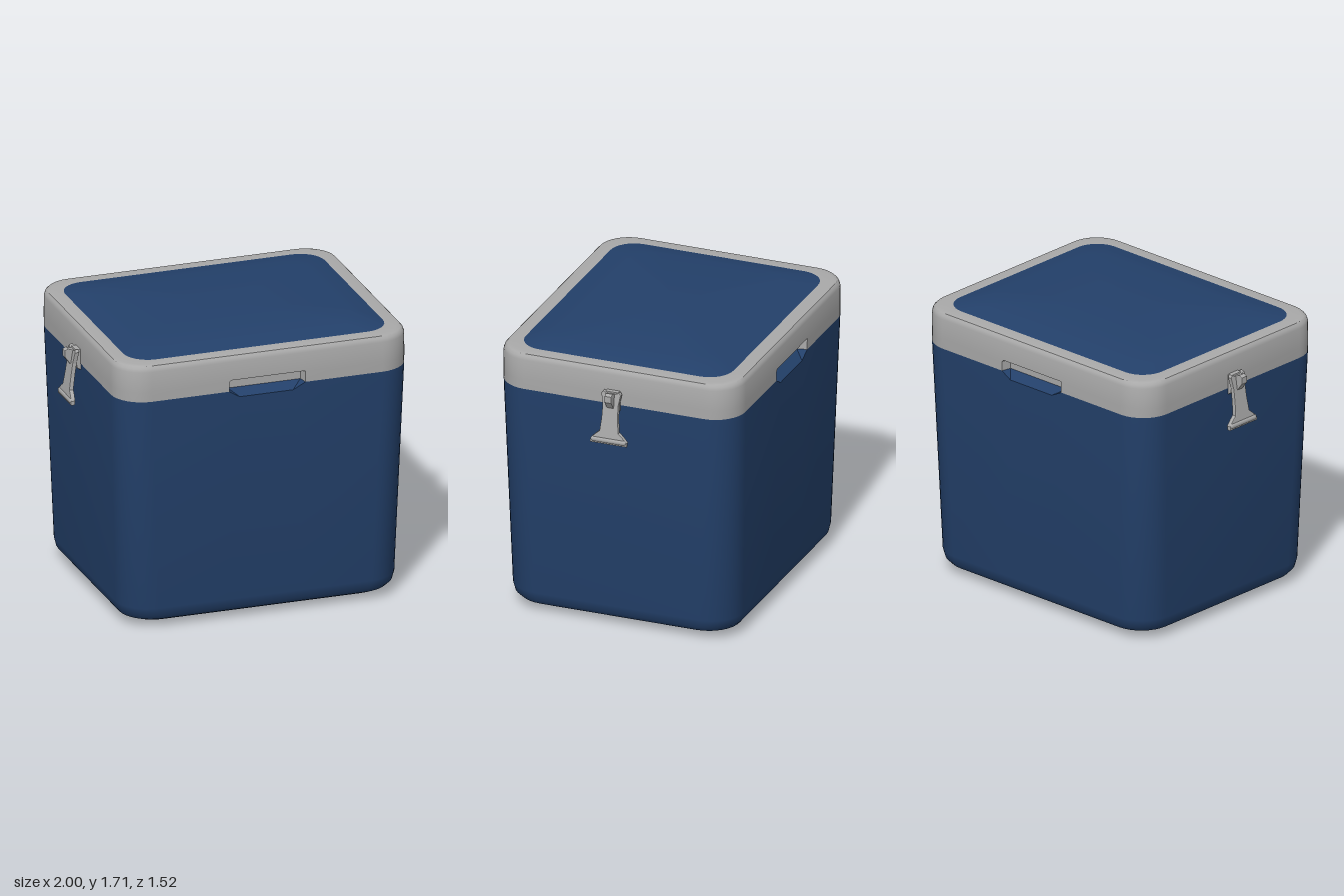
import * as THREE from 'three';
import { toCreasedNormals } from 'three/addons/utils/BufferGeometryUtils.js';

const GRIP = 0.225; // half width of the grip recess

// Rounded-rectangle cross-section; push sinks the grip area into the front and back
function ring({ x: hx, z: hz, r, y, push = 0, grip = GRIP }) {
  const pts = [];
  const signs = [[1, 1], [-1, 1], [-1, -1], [1, -1]];
  signs.forEach(([sx, sz], k) => {
    for (let i = 0; i <= 8; i++) {
      const a = (k + i / 8) * Math.PI / 2;
      pts.push([sx * (hx - r) + r * Math.cos(a), y, sz * (hz - r) + r * Math.sin(a)]);
    }
    if (k % 2 === 0) {
      for (const [x, p] of [[grip + 0.012, 0], [grip, push], [-grip, push], [-grip - 0.012, 0]]) {
        pts.push([sz * x, y, sz * (hz - p)]);
      }
    }
  });
  return pts;
}

// Skin stacked cross-sections, with optional flat ends
function loft(sections, { top = false, bottom = false } = {}) {
  const rings = sections.map(ring);
  const n = rings[0].length;
  const pos = rings.flat(2);
  const index = [];
  for (let j = 0; j < rings.length - 1; j++) {
    for (let i = 0; i < n; i++) {
      const a = j * n + i, b = j * n + (i + 1) % n;
      index.push(a, a + n, b, a + n, b + n, b);
    }
  }
  const cap = (j, up) => {
    const c = pos.length / 3;
    pos.push(0, sections[j].y, 0);
    for (let i = 0; i < n; i++) {
      const a = j * n + i, b = j * n + (i + 1) % n;
      index.push(c, up ? b : a, up ? a : b);
    }
  };
  if (top) cap(rings.length - 1, true);
  if (bottom) cap(0, false);
  const geo = new THREE.BufferGeometry();
  geo.setAttribute('position', new THREE.Float32BufferAttribute(pos, 3));
  geo.setIndex(index);
  return toCreasedNormals(geo, 0.6);
}

function extrude(points, depth, bevel) {
  const shape = new THREE.Shape(points.map(([x, y]) => new THREE.Vector2(x, y)));
  return new THREE.ExtrudeGeometry(shape, {
    depth: depth - 2 * bevel, bevelEnabled: true, bevelThickness: bevel,
    bevelSize: bevel, bevelOffset: -bevel, bevelSegments: 2,
  }).translate(0, 0, bevel - depth / 2);
}

function addMesh(parent, name, geo, mat) {
  const mesh = new THREE.Mesh(geo, mat);
  mesh.name = name;
  parent.add(mesh);
}

// Side latch for +x: leaning arm with flared pull, pivot bracket and hook
function makeLatch(mat) {
  const latch = new THREE.Group();
  const half = [[0.115, 1.225], [0.115, 1.25], [0.085, 1.28], [0.06, 1.3], [0.052, 1.38],
    [0.05, 1.46], [0.062, 1.53], [0.05, 1.545], [0.02, 1.53]];
  const outline = [...half, ...half.map(([z, y]) => [-z, y]).reverse()];
  const arm = extrude(outline, 0.028, 0.006).rotateY(Math.PI / 2);
  const p = arm.attributes.position;
  for (let i = 0; i < p.count; i++) {
    p.setX(i, p.getX(i) + 0.98 - (p.getY(i) - 1.225) * 0.15); // lean toward the lid
  }
  arm.computeVertexNormals();
  addMesh(latch, 'latchArm', arm, mat);

  const bracket = [[0.88, 1.4], [0.925, 1.42], [0.945, 1.5], [0.935, 1.54], [0.88, 1.54]];
  addMesh(latch, 'latchBracket', extrude(bracket, 0.085, 0.006), mat);

  const hook = [[0.93, 1.43], [0.965, 1.45], [0.998, 1.495], [0.998, 1.535], [0.975, 1.545], [0.93, 1.53]];
  addMesh(latch, 'latchHook', extrude(hook, 0.045, 0.006), mat);

  const pull = new THREE.CapsuleGeometry(0.018, 0.19, 4, 10).rotateX(Math.PI / 2).translate(0.98, 1.247, 0);
  addMesh(latch, 'latchPull', pull, mat);
  return latch;
}

export function createModel() {
  const blue = new THREE.MeshStandardMaterial({ color: 0x23406a });
  blue.name = 'navy blue';
  const grey = new THREE.MeshStandardMaterial({ color: 0xa9a9a9 });
  grey.name = 'light grey';
  const cooler = new THREE.Group();
  cooler.name = 'coolBox';

  // Tapered tub with a low foot; its upper edge slopes into the grip recesses
  addMesh(cooler, 'tub', loft([
    { x: 0.70, z: 0.54, r: 0.13, y: 0 },
    { x: 0.735, z: 0.575, r: 0.14, y: 0.018 },
    { x: 0.785, z: 0.645, r: 0.17, y: 0.03 },
    { x: 0.825, z: 0.685, r: 0.19, y: 0.05 },
    { x: 0.85, z: 0.71, r: 0.2, y: 0.08 },
    { x: 0.86, z: 0.72, r: 0.2, y: 0.13 },
    { x: 0.904, z: 0.756, r: 0.19, y: 1.41, grip: 0.16 },
    { x: 0.905, z: 0.757, r: 0.19, y: 1.45, push: 0.06 },
  ], { bottom: true }), blue);

  // Lid rim with the upper half of the grip recesses
  addMesh(cooler, 'lidRim', loft([
    { x: 0.905, z: 0.757, r: 0.19, y: 1.45, push: 0.06 },
    { x: 0.906, z: 0.758, r: 0.19, y: 1.508, push: 0.06 },
    { x: 0.906, z: 0.758, r: 0.19, y: 1.52 },
    { x: 0.905, z: 0.757, r: 0.19, y: 1.635 },
    { x: 0.899, z: 0.751, r: 0.187, y: 1.655 },
    { x: 0.887, z: 0.739, r: 0.18, y: 1.668 },
    { x: 0.868, z: 0.72, r: 0.175, y: 1.672 },
    { x: 0.806, z: 0.656, r: 0.15, y: 1.672 },
  ]), grey);

  // Raised lid panel
  addMesh(cooler, 'lidPanel', loft([
    { x: 0.806, z: 0.656, r: 0.15, y: 1.672 },
    { x: 0.73, z: 0.57, r: 0.15, y: 1.692 },
    { x: 0.65, z: 0.48, r: 0.14, y: 1.707 },
  ], { top: true }), blue);

  // One latch on each side
  for (const [name, turn] of [['leftLatch', 0], ['rightLatch', Math.PI]]) {
    const latch = makeLatch(grey);
    latch.name = name;
    latch.rotation.y = turn;
    cooler.add(latch);
  }
  return cooler;
}
